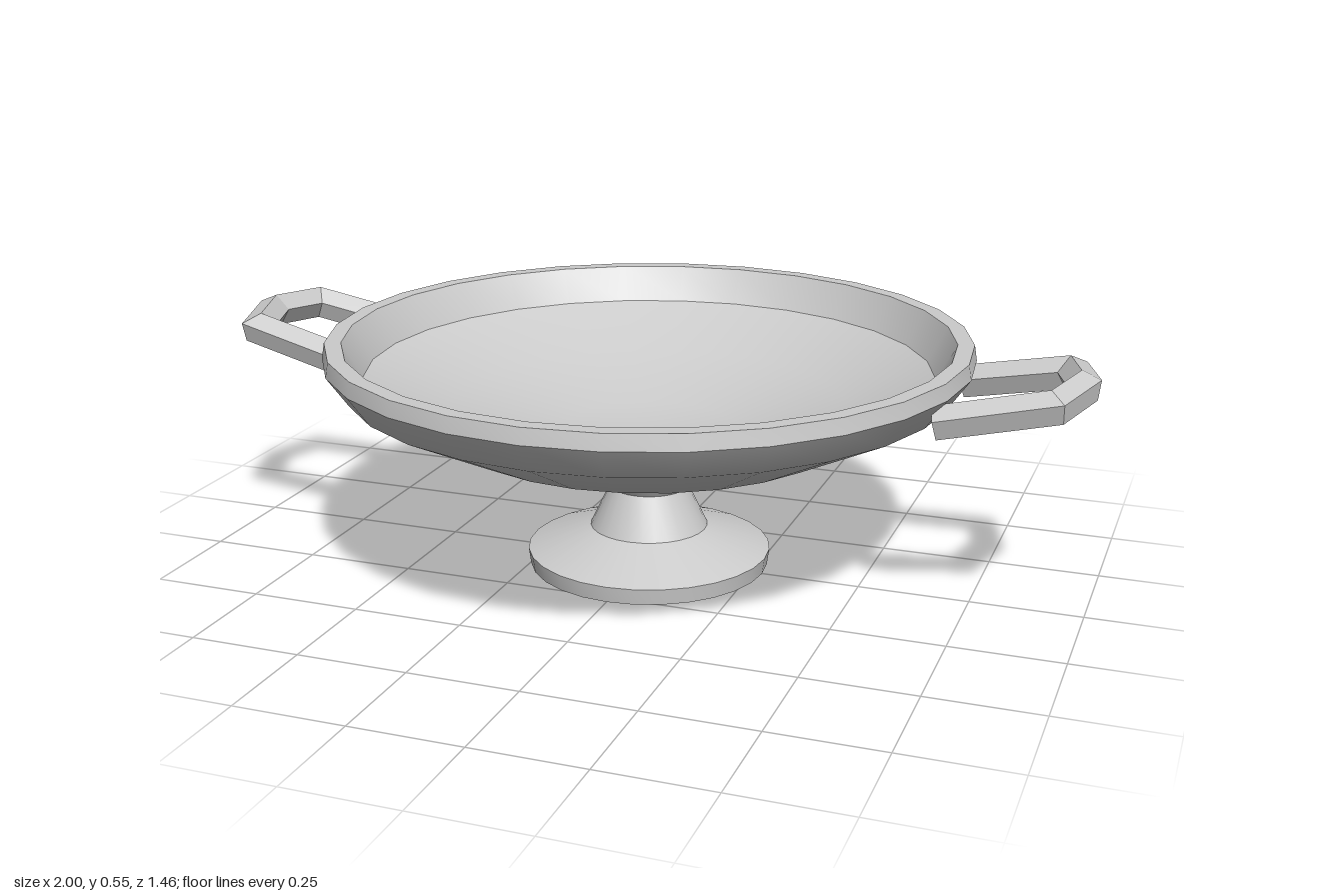
import * as THREE from 'three';
import { toCreasedNormals } from 'three/addons/utils/BufferGeometryUtils.js';

const material = new THREE.MeshStandardMaterial({ color: 0xcccccc });

// Turned part: profile of [radius, y], soft facets with sharp profile edges
function turned(name, profile) {
  const points = profile.map(([r, y]) => new THREE.Vector2(r, y));
  const mesh = new THREE.Mesh(toCreasedNormals(new THREE.LatheGeometry(points, 28), 0.6), material);
  mesh.name = name;
  return mesh;
}

// Five-sided bar swept along a path in the xz plane, with mitred corners
function barGeometry(path, radius) {
  const pts = path.map(([x, z]) => new THREE.Vector2(x, z));
  const sides = 5;
  const direction = (i) => pts[i + 1].clone().sub(pts[i]).normalize();
  const rings = pts.map((p, i) => {
    const d0 = direction(Math.max(i - 1, 0));
    const d1 = direction(Math.min(i, pts.length - 2));
    const t = d0.clone().add(d1).normalize();
    const mitre = 1 / t.dot(d0);
    return Array.from({ length: sides }, (_, k) => {
      const a = Math.PI / 2 + (k * 2 * Math.PI) / sides;
      const s = Math.cos(a) * radius * mitre;
      return new THREE.Vector3(p.x - t.y * s, Math.sin(a) * radius, p.y + t.x * s);
    });
  });
  const corners = [];
  for (let i = 0; i < rings.length - 1; i++) {
    for (let k = 0; k < sides; k++) {
      const n = (k + 1) % sides;
      const [a, b, c, d] = [rings[i][k], rings[i][n], rings[i + 1][n], rings[i + 1][k]];
      corners.push(a, d, c, a, c, b);
    }
  }
  // End caps
  const first = rings[0], last = rings[rings.length - 1];
  for (let k = 1; k < sides - 1; k++) {
    corners.push(first[0], first[k], first[k + 1], last[0], last[k + 1], last[k]);
  }
  const geometry = new THREE.BufferGeometry().setFromPoints(corners);
  geometry.computeVertexNormals();
  return geometry;
}

export function createModel() {
  const model = new THREE.Group();
  model.name = 'footedCup';

  // Foot and waisted stem
  model.add(turned('footAndStem', [
    [0, 0], [0.275, 0], [0.28, 0.037], [0.135, 0.09], [0.09, 0.185], [0.135, 0.255],
  ]));

  // Shallow bowl: outside, rim, then inside down to the centre
  model.add(turned('bowl', [
    [0.135, 0.255], [0.455, 0.325], [0.68, 0.437], [0.728, 0.505], [0.722, 0.54],
    [0.685, 0.54], [0.64, 0.46], [0.45, 0.38], [0.2, 0.32], [0, 0.3],
  ]));

  // Pair of angular handles, tilted upwards
  const handle = barGeometry(
    [[0, 0.163], [0.243, 0.139], [0.285, 0], [0.243, -0.139], [0, -0.163]], 0.038);
  for (const side of [1, -1]) {
    const pivot = new THREE.Group();
    pivot.name = side > 0 ? 'leftHandle' : 'rightHandle';
    pivot.rotation.y = side > 0 ? 0 : Math.PI;
    const bar = new THREE.Mesh(handle, material);
    bar.name = 'handleBar';
    bar.position.set(0.685, 0.455, 0);
    bar.rotation.z = 0.21;
    pivot.add(bar);
    model.add(pivot);
  }
  return model;
}
